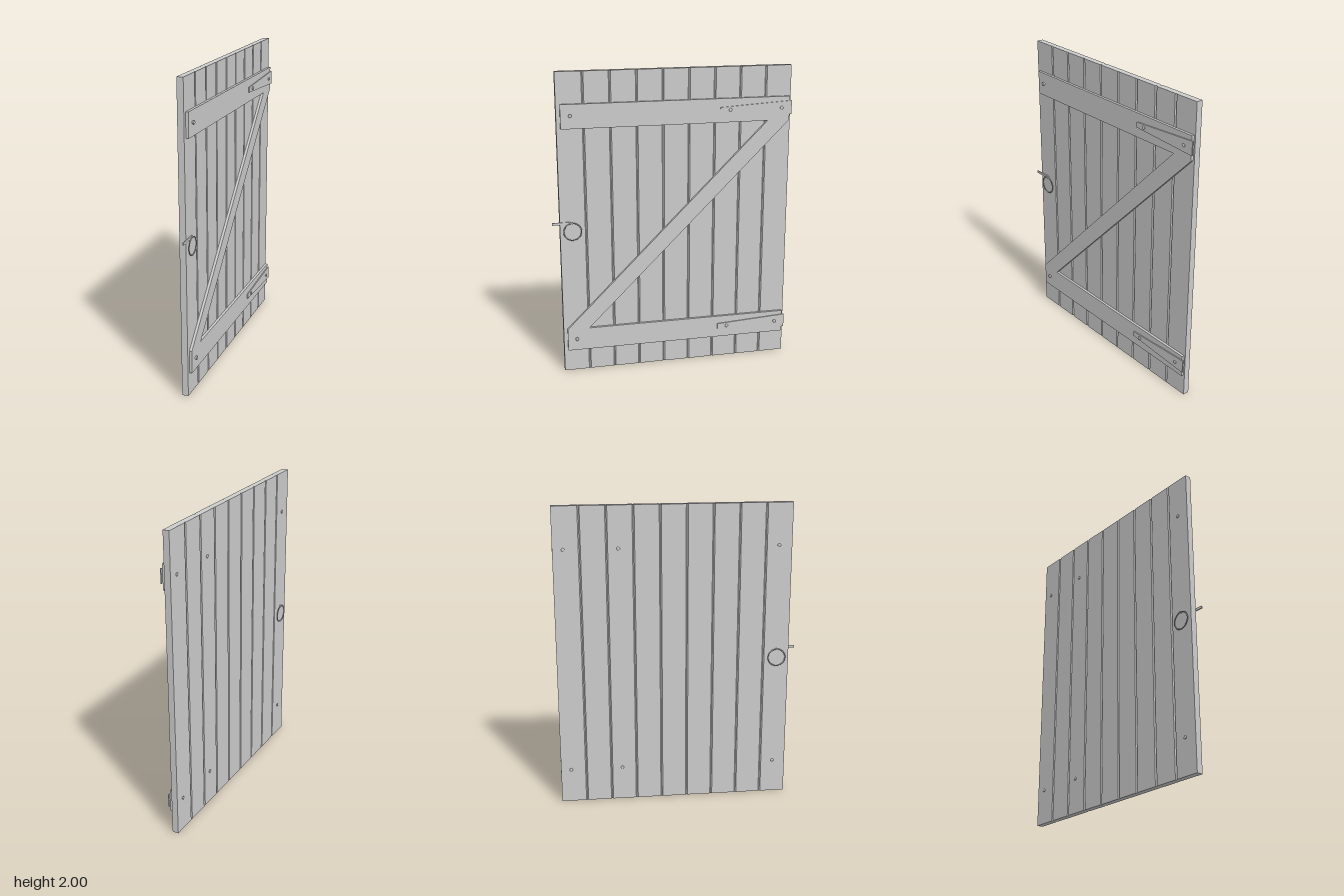
import * as THREE from 'three';

const mat = new THREE.MeshStandardMaterial({ color: 0xcccccc, flatShading: true });
const smooth = new THREE.MeshStandardMaterial({ color: 0xcccccc });

// Flat plate from [z, y] corners, filling x0..x1
function plate(points, x0, x1) {
  const shape = new THREE.Shape(points.map(([z, y]) => new THREE.Vector2(-z, y)));
  const geo = new THREE.ExtrudeGeometry(shape, { depth: x1 - x0, bevelEnabled: false });
  return geo.rotateY(Math.PI / 2).translate(x0, 0, 0);
}

export function createModel() {
  const door = new THREE.Group();
  door.name = 'plankDoor';
  const add = (name, geo, material = mat) => {
    const mesh = new THREE.Mesh(geo, material);
    mesh.name = name;
    door.add(mesh);
    return mesh;
  };

  const back = -0.031, face = 0.01, battenFace = 0.027, strapFace = 0.034;
  const zMin = -0.787, zMax = 0.74, count = 9;

  // Vertical boards with chamfered long edges
  const pitch = (zMax - zMin) / count, c = 0.007;
  for (let i = 0; i < count; i++) {
    const a = zMin + i * pitch, b = a + pitch;
    const ca = i === 0 ? 0 : c, cb = i === count - 1 ? 0 : c;
    const corners = [
      [back + ca, a], [back, a + ca], [back, b - cb], [back + cb, b],
      [face - cb, b], [face, b - cb], [face, a + ca], [face - ca, a],
    ].filter((p, k, all) => k === 0 || p[0] !== all[k - 1][0] || p[1] !== all[k - 1][1]);
    const shape = new THREE.Shape(corners.map(([x, z]) => new THREE.Vector2(x, -z)));
    const geo = new THREE.ExtrudeGeometry(shape, { depth: 2, bevelEnabled: false });
    add('board', geo.rotateX(-Math.PI / 2));
  }

  // Two cross battens and the diagonal brace between them
  for (const [y0, y1] of [[0.15, 0.3], [1.645, 1.8]]) {
    add('batten', plate([[0.715, y0], [-0.777, y0], [-0.777, y1], [0.715, y1]], face, battenFace));
  }
  add('diagonalBrace',
    plate([[0.715, 0.3], [0.57, 0.3], [-0.777, 1.645], [-0.63, 1.645]], face, battenFace));

  // Tapered strap hinges and the bolts that go through the door
  for (const y of [0.23, 1.727]) {
    add('hingeStrap', plate([
      [-0.31, y - 0.017], [-0.789, y - 0.045], [-0.789, y + 0.045], [-0.31, y + 0.017],
    ], battenFace, strapFace));
    for (const z of [-0.72, -0.375, 0.655]) {
      for (const [side, from, to] of [[1, face, 0.042], [-1, -back, 0.038]]) {
        const h = to - from;
        const profile = [[0, 0], [0.011, 0], [0.011, h - 0.004], [0.007, h - 0.001], [0, h]];
        const geo = new THREE.LatheGeometry(profile.map(([r, t]) => new THREE.Vector2(r, t)), 12);
        geo.rotateZ(-side * Math.PI / 2).translate(side * from, y, z);
        add('bolt', geo);
      }
    }
  }

  // Ring handles on both faces, their spindle and the latch bar
  for (const x of [-0.0395, 0.02]) {
    const ring = new THREE.TorusGeometry(0.057, 0.0035, 8, 32);
    add('ringHandle', ring.rotateY(Math.PI / 2).translate(x, 0.975, 0.66), smooth);
  }
  const spindle = new THREE.CylinderGeometry(0.006, 0.006, 0.067, 12);
  add('handleSpindle', spindle.rotateZ(Math.PI / 2).translate(-0.0095, 1.032, 0.66));
  add('latchBar', plate([
    [0.789, 1.024], [0.655, 1.024], [0.655, 1.04], [0.789, 1.04],
  ], face, 0.017));

  return door;
}
